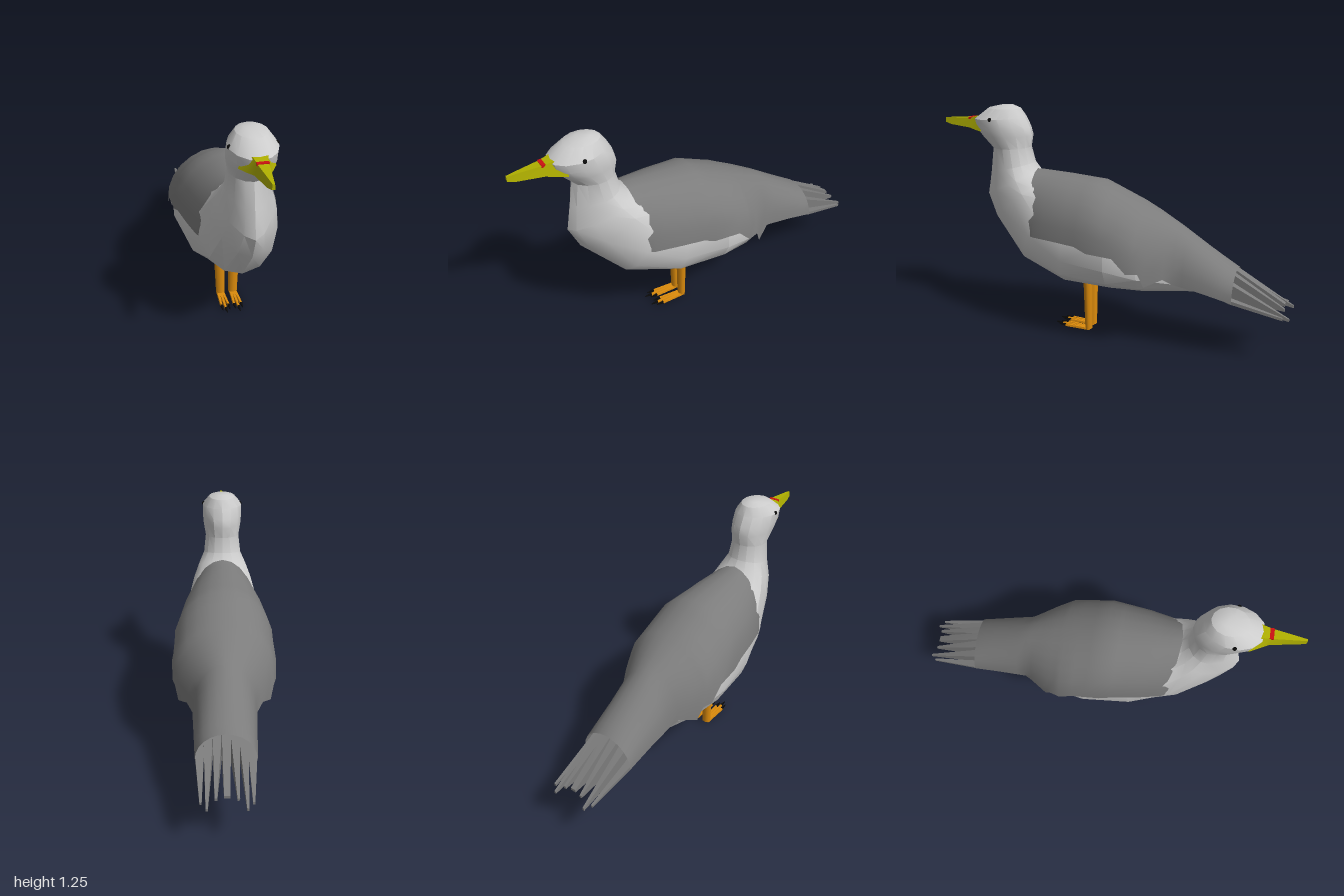
import * as THREE from 'three';
import { toCreasedNormals } from 'three/addons/utils/BufferGeometryUtils.js';

const paint = (color, side = THREE.FrontSide) => new THREE.MeshStandardMaterial({ color, side });
const white = paint(0xcccccc), grey = paint(0x7c7c7c, THREE.DoubleSide), yellow = paint(0xb0b000);
const red = paint(0xcc1111), orange = paint(0xdd8c0c), black = paint(0x0a0a0a);

// Skin a list of rings (each a list of Vector3), running towards -z
function loft(rings, closed = true, crease = 0.5) {
  const n = rings[0].length, pos = [], idx = [];
  rings.forEach(r => r.forEach(p => pos.push(p.x, p.y, p.z)));
  for (let i = 0; i < rings.length - 1; i++) {
    for (let j = 0; j < (closed ? n : n - 1); j++) {
      const k = (j + 1) % n, a = i * n + j, b = i * n + k;
      idx.push(a, b, a + n, b, b + n, a + n);
    }
  }
  if (closed) {
    for (const i of [0, rings.length - 1]) {
      const c = pos.length / 3, mid = new THREE.Vector3();
      rings[i].forEach(p => mid.addScaledVector(p, 1 / n));
      pos.push(mid.x, mid.y, mid.z);
      for (let j = 0; j < n; j++) {
        const a = i * n + j, b = i * n + (j + 1) % n;
        idx.push(c, i ? a : b, i ? b : a);
      }
    }
  }
  const g = new THREE.BufferGeometry();
  g.setAttribute('position', new THREE.Float32BufferAttribute(pos, 3));
  g.setIndex(idx);
  return toCreasedNormals(g, crease);
}

// Ring hung between a top and a bottom point; f is how far down it is widest,
// e below 1 squares the lower half and above 1 pinches it to a keel
function bodyRing([tz, ty, bz, by, hw, f, e]) {
  return Array.from({ length: 14 }, (_, j) => {
    const a = j / 14 * Math.PI * 2, c = Math.cos(a), s = Math.sin(a);
    const down = c > 0 ? f * (1 - c) : f + (1 - f) * Math.pow(-c, e);
    const x = hw * Math.sign(s) * Math.pow(Math.abs(s), c > 0 ? 1 : e);
    return new THREE.Vector3(x, ty + (by - ty) * down, tz + (bz - tz) * down);
  });
}

// Four-sided ring: top and bottom half-widths around x
const boxRing = ([x, z, top, bottom, wt, wb]) => [[wt, top], [wb, bottom], [-wb, bottom], [-wt, top]]
  .map(([dx, y]) => new THREE.Vector3(x + dx, y, z));

export function createModel() {
  const model = new THREE.Group();
  const add = (name, geometry, material, parent = model) => {
    const mesh = new THREE.Mesh(geometry, material);
    mesh.name = name;
    parent.add(mesh);
    return mesh;
  };

  // Head, neck, breast and belly in one skin: top z, y, bottom z, y, half-width, widest, squareness
  add('headAndBody', loft([
    [0.57, 1.253, 0.65, 1.25, 0.035, 0.5, 1],
    [0.53, 1.235, 0.715, 1.235, 0.075, 0.5, 1],
    [0.5, 1.19, 0.8, 1.172, 0.115, 0.5, 1],
    [0.472, 1.135, 0.79, 1.125, 0.115, 0.5, 1],
    [0.46, 1.09, 0.755, 1.08, 0.11, 0.5, 1],
    [0.475, 1.025, 0.695, 1.015, 0.098, 0.45, 1.1],
    [0.455, 0.94, 0.72, 0.88, 0.11, 0.38, 1.25],
    [0.425, 0.895, 0.747, 0.74, 0.142, 0.3, 1.3],
    [0.37, 0.86, 0.69, 0.61, 0.17, 0.33, 1.2],
    [0.28, 0.86, 0.5, 0.39, 0.205, 0.47, 0.95],
    [0.15, 0.84, 0.23, 0.3, 0.25, 0.55, 0.8],
    [-0.05, 0.81, -0.05, 0.3, 0.27, 0.57, 0.75],
    [-0.22, 0.7, -0.22, 0.3, 0.235, 0.6, 0.8],
    [-0.45, 0.56, -0.45, 0.315, 0.135, 0.65, 0.9],
    [-0.64, 0.44, -0.64, 0.32, 0.1, 0.6, 1],
  ].map(bodyRing)), white);

  // Folded wings and back: z, top y, half-width, lower edge y, with ragged feather tips
  const stations = [
    [0.43, 0.908, 0.2, 0.575], [0.25, 0.895, 0.242, 0.575], [0.04, 0.875, 0.276, 0.565],
    [-0.18, 0.778, 0.28, 0.48], [-0.27, 0.735, 0.248, 0.41], [-0.4, 0.665, 0.168, 0.39],
    [-0.55, 0.565, 0.16, 0.36], [-0.71, 0.462, 0.152, 0.32],
  ];
  const mantle = [];
  stations.forEach((s, i) => {
    const next = stations[i + 1], steps = next ? 3 : 1;
    for (let k = 0; k < steps; k++) {
      const [z, top, hw, low] = s.map((v, m) => next ? v + (next[m] - v) * k / steps : v);
      const rag = z < 0.1 && z > -0.36 ? (k - 1) * 0.025 : 0;
      mantle.push(Array.from({ length: 13 }, (_, j) => {
        const a = (j / 6 - 1) * Math.PI / 2, edge = Math.abs(j - 6) / 6;
        const lift = edge === 1 ? rag : 0;
        return new THREE.Vector3(hw * Math.sin(a) * (1 + lift * 0.5),
          low + (top - low) * Math.cos(a) + lift, z - (i === 0 && k === 0 ? 0.03 * edge : 0));
      }));
    }
  });
  add('wingsAndBack', loft(mantle, false, 0.6), grey);

  // Tail: long feathers, side by side, parting into points behind
  const tail = new THREE.Group();
  tail.name = 'tail';
  model.add(tail);
  const tips = [[0, -0.965, 0.295, 0.015], [0.052, -0.97, 0.285, 0.006],
    [0.094, -1.0, 0.25, 0.005], [0.122, -0.97, 0.262, 0.005]];
  for (let i = -3; i <= 3; i++) {
    const k = Math.abs(i), s = Math.sign(i), [x, z, y, w] = tips[k];
    const drop = 0.014 * k * k;
    add('tailFeather', loft([
      [i * 0.04, -0.44, 0.57 - drop, 0.34 + 0.008 * k * k, 0.02, 0.02],
      [i * 0.043, -0.7, 0.462 - drop, 0.3 + 0.006 * k, 0.0215, 0.0215],
      [s * x, z, y + 0.008, y - 0.006, w, w],
    ].map(boxRing)), grey, tail);
  }

  // Beak with a red band
  add('beak', loft([
    [0, 1.0, 1.162, 1.137, 0.005, 0.008],
    [0, 0.96, 1.165, 1.127, 0.01, 0.016],
    [0, 0.83, 1.173, 1.118, 0.026, 0.036],
    [0, 0.785, 1.182, 1.113, 0.033, 0.06],
    [0, 0.735, 1.18, 1.11, 0.06, 0.086],
  ].map(boxRing)), yellow);
  add('beakBand', new THREE.BoxGeometry(0.056, 0.012, 0.02), red).position.set(0, 1.17, 0.828);

  for (const side of [-1, 1]) {
    const name = side > 0 ? 'left' : 'right';
    const eye = add(name + 'Eye', new THREE.SphereGeometry(0.012, 10, 8), black);
    eye.position.set(side * 0.106, 1.18, 0.66);

    // Leg, foot and three clawed toes
    const leg = new THREE.Group();
    leg.name = name + 'Leg';
    model.add(leg);
    const shin = add('shin', new THREE.CylinderGeometry(0.033, 0.025, 0.34, 10), orange, leg);
    shin.position.set(side * 0.039, 0.175, 0.119);
    shin.rotation.z = -side * 0.02;
    shin.scale.z = 0.8;
    for (const t of [-1, 0, 1]) {
      const x = side * 0.036, tipX = x + t * 0.02, end = t ? 0.295 : 0.32;
      add('toe', loft([
        [tipX, end - 0.04, 0.018, 0.006, 0.005, 0.007],
        [x + t * 0.012, 0.11, 0.012, 0, 0.008, 0.009],
      ].map(boxRing)), orange, leg);
      add('claw', loft([
        [tipX, end, 0.016, 0.012, 0.001, 0.002],
        [tipX, end - 0.042, 0.02, 0.006, 0.006, 0.007],
      ].map(boxRing)), black, leg);
    }
  }
  return model;
}
